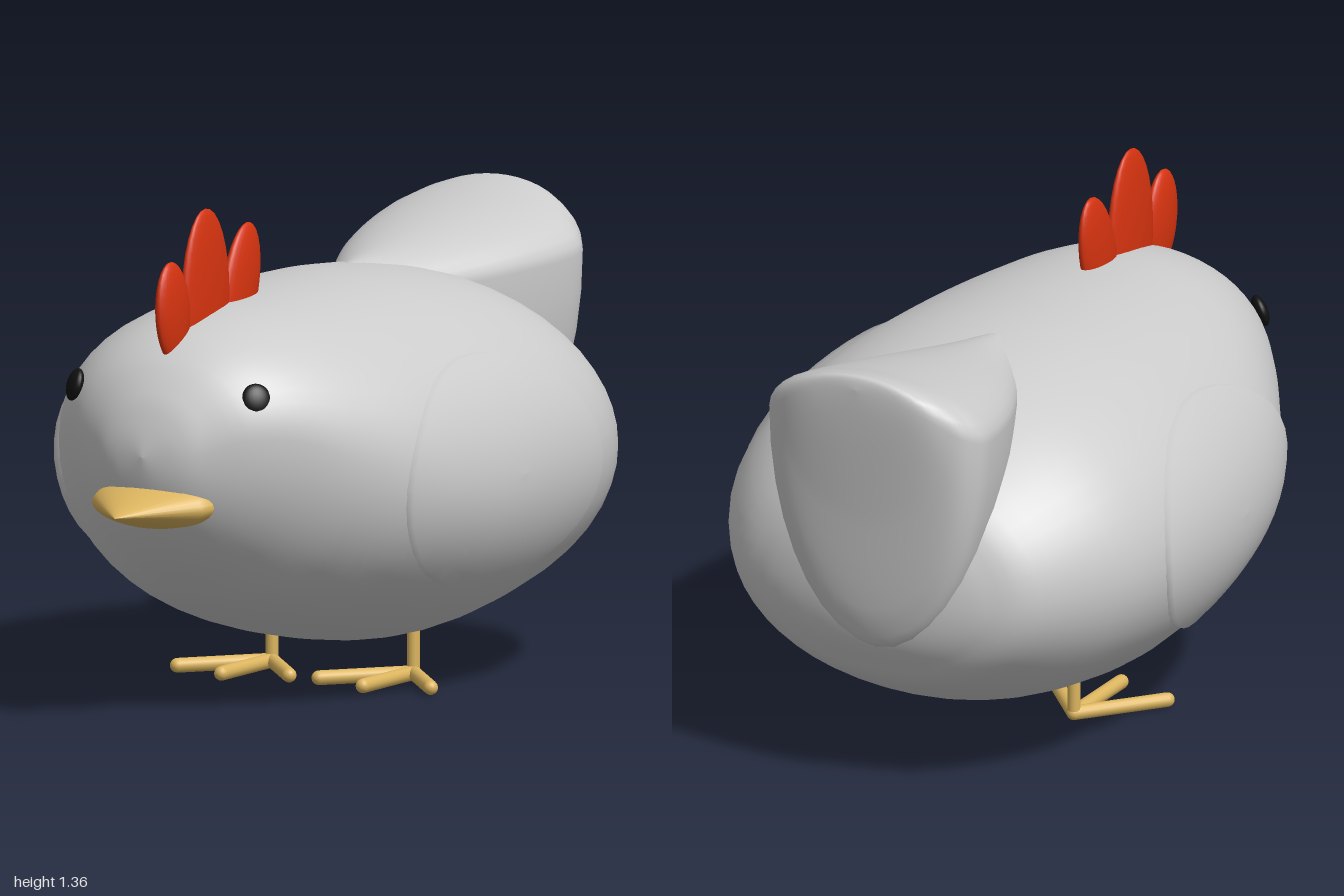
import * as THREE from 'three';
import { ParametricGeometry } from 'three/addons/geometries/ParametricGeometry.js';

const grey = new THREE.MeshStandardMaterial({ color: 0xcccccc });
const red = new THREE.MeshStandardMaterial({ color: 0xd6330f });
const yellow = new THREE.MeshStandardMaterial({ color: 0xdcb55f });
const black = new THREE.MeshStandardMaterial({ color: 0x111111 });

// Egg-shaped cross-sections, front to back: [z, half width, bottom, widest height, top]
const BODY = [
  [0.925, 0.0005, 0.7295, 0.73, 0.7305],
  [0.905, 0.11, 0.63, 0.73, 0.82],
  [0.87, 0.18, 0.55, 0.75, 0.9],
  [0.8, 0.28, 0.46, 0.78, 0.985],
  [0.7, 0.37, 0.37, 0.77, 1.045],
  [0.55, 0.475, 0.27, 0.7, 1.085],
  [0.35, 0.575, 0.19, 0.63, 1.1],
  [0.1, 0.63, 0.13, 0.6, 1.11],
  [-0.15, 0.65, 0.1, 0.6, 1.11],
  [-0.4, 0.64, 0.13, 0.6, 1.085],
  [-0.6, 0.59, 0.18, 0.6, 1.025],
  [-0.8, 0.465, 0.28, 0.59, 0.915],
  [-0.88, 0.34, 0.37, 0.58, 0.82],
  [-0.925, 0.17, 0.46, 0.58, 0.71],
  [-0.94, 0.0005, 0.5795, 0.58, 0.5805],
];
const TAIL = [
  [-0.15, 0.02, 0.9, 1.0, 1.09],
  [-0.4, 0.16, 0.7, 1.02, 1.125],
  [-0.65, 0.27, 0.48, 1.04, 1.17],
  [-0.87, 0.325, 0.42, 1.06, 1.21],
  [-0.95, 0.305, 0.5, 1.08, 1.23],
  [-0.995, 0.25, 0.85, 1.12, 1.24],
  [-1.025, 0.16, 1.08, 1.17, 1.24],
  [-1.035, 0.0005, 1.2045, 1.205, 1.2055],
];

// Smooth interpolation of a section list
function sections(list) {
  const zw = new THREE.SplineCurve(list.map((s) => new THREE.Vector2(s[0], s[1])));
  const heights = new THREE.CatmullRomCurve3(
    list.map((s) => new THREE.Vector3(s[2], s[3], s[4])), false, 'catmullrom');
  return (t) => {
    const a = zw.getPoint(t), b = heights.getPoint(t);
    return { z: a.x, w: a.y, bottom: b.x, mid: b.y, top: b.z };
  };
}

function loft(at, around, along) {
  return new ParametricGeometry((u, v, p) => {
    const s = at(v), a = -2 * Math.PI * u, k = Math.sin(a);
    p.set(s.w * Math.cos(a), s.mid + k * (k > 0 ? s.top - s.mid : s.mid - s.bottom), s.z);
  }, around, along);
}

const bodyAt = sections(BODY);

// Half width of the body at a given z and height
function bodyX(z, y) {
  let lo = 0, hi = 1;
  for (let i = 0; i < 40; i++) {
    const m = (lo + hi) / 2;
    if (bodyAt(m).z > z) lo = m; else hi = m;
  }
  const s = bodyAt(lo);
  const k = (y - s.mid) / (y > s.mid ? s.top - s.mid : s.mid - s.bottom);
  return s.w * Math.sqrt(Math.max(0, 1 - k * k));
}

// Oval shell lying just outside the flank, with its rim turned into the body
function wingGeometry(side) {
  return new ParametricGeometry((u, v, p) => {
    const a = side * 2 * Math.PI * u;
    const r = Math.min(1, Math.max(0.001, v / 0.9));
    const lift = v <= 0.9 ? 0.02 : 0.02 - (v - 0.9) * 0.45;
    const y = 0.615 + 0.315 * r * Math.sin(a);
    const z = 0.01 + 0.42 * r * Math.cos(a);
    p.set(side * (bodyX(z, y) + lift), y, z);
  }, 40, 10);
}

export function createModel() {
  const model = new THREE.Group();
  model.name = 'hen';
  const add = (name, geometry, material, parent = model) => {
    const mesh = new THREE.Mesh(geometry, material);
    mesh.name = name;
    parent.add(mesh);
    return mesh;
  };

  add('body', loft(bodyAt, 48, 56), grey);
  add('tail', loft(sections(TAIL), 36, 35), grey).position.x = -0.025;

  // Comb: three flat lobes [z, y, half length, half height, tilt]
  const ball = new THREE.SphereGeometry(1, 24, 16);
  const comb = new THREE.Group();
  comb.name = 'comb';
  model.add(comb);
  for (const [z, y, rz, ry, tilt] of [
    [0.75, 1.1, 0.08, 0.14, 0.12],
    [0.575, 1.11, 0.122, 0.25, 0],
    [0.39, 1.12, 0.088, 0.18, -0.3],
  ]) {
    const lobe = add('combLobe', ball, red, comb);
    lobe.scale.set(0.027, ry, rz);
    lobe.position.set(-0.005, y, z);
    lobe.rotation.x = tilt;
  }

  // Beak: wide flattened cone with a rounded base, pointing forward
  const beakProfile = [[0, 0], [0.7, 0.005], [0.93, 0.025], [1, 0.06], [0.93, 0.095], [0, 0.27]];
  const beakGeometry = new THREE.LatheGeometry(beakProfile.map(([r, h]) => new THREE.Vector2(r, h)), 32);
  beakGeometry.rotateX(Math.PI / 2).scale(0.185, 0.065, 1);
  const beak = add('beak', beakGeometry, yellow);
  beak.position.set(-0.005, 0.597, 0.79);
  beak.rotation.x = 0.06;

  for (const side of [1, -1]) {
    const label = side > 0 ? 'left' : 'right';
    add(label + 'Wing', wingGeometry(side), grey);

    // Eye: small disc-like ball facing out from the head
    const eye = add(label + 'Eye', ball, black);
    eye.scale.set(0.042, 0.045, 0.02);
    eye.position.set(side * bodyX(0.765, 0.885) - 0.018, 0.885, 0.765);
    eye.rotation.set(-0.3, side * 0.8, 0, 'YXZ');

    // Leg with three forward toes
    const leg = new THREE.Group();
    leg.name = label + 'Leg';
    leg.position.set(side * 0.22, 0, -0.15);
    model.add(leg);
    add('shank', new THREE.CylinderGeometry(0.018, 0.018, 0.2, 16), yellow, leg).position.y = 0.12;
    for (const angle of [-0.7, 0, 0.7]) {
      const toe = add('toe', new THREE.CapsuleGeometry(0.02, 0.27, 6, 14)
        .rotateX(Math.PI / 2).translate(0, 0.02, 0.135), yellow, leg);
      toe.rotation.y = angle;
    }
  }

  // The hen is turned slightly to its left
  model.rotation.y = 0.35;
  model.position.x = 0.042;
  const root = new THREE.Group();
  root.add(model);
  return root;
}
